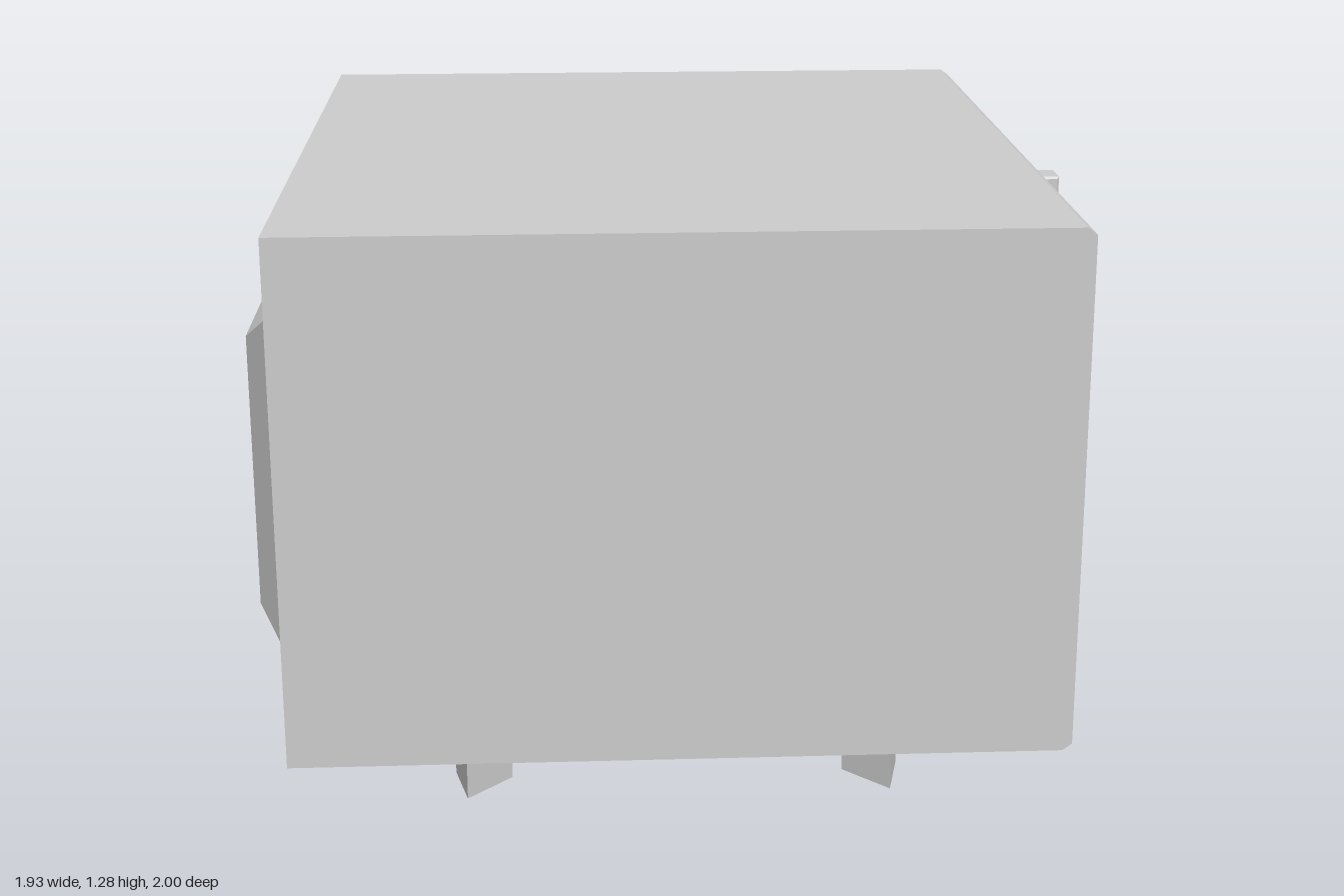
import * as THREE from 'three';

const material = new THREE.MeshStandardMaterial({ color: 0xcccccc, flatShading: true });

// Closed loft through rectangles [depth, u0, u1, v0, v1] stacked along +z
function loft(rings) {
  const pos = [];
  const corners = rings.map(([d, u0, u1, v0, v1]) =>
    [[u0, v0, d], [u1, v0, d], [u1, v1, d], [u0, v1, d]]);
  const quad = (a, b, c, d) => pos.push(...a, ...b, ...c, ...a, ...c, ...d);
  for (let k = 0; k < corners.length - 1; k++) {
    const p = corners[k], q = corners[k + 1];
    for (let i = 0; i < 4; i++) {
      const j = (i + 1) % 4;
      quad(p[i], p[j], q[j], q[i]);
    }
  }
  quad(...corners[0].slice().reverse());
  quad(...corners[corners.length - 1]);
  const geo = new THREE.BufferGeometry();
  geo.setAttribute('position', new THREE.Float32BufferAttribute(pos, 3));
  geo.computeVertexNormals();
  return geo;
}

export function createModel() {
  const group = new THREE.Group();
  const add = (name, geo) => {
    const mesh = new THREE.Mesh(geo, material);
    mesh.name = name;
    group.add(mesh);
    return mesh;
  };

  // Cabinet, chamfered along the door's top and bottom, with the recessed window
  add('cabinet', loft([
    [-0.9, -1, 0.915, 0.14, 1.28],
    [0.74, -1, 0.915, 0.14, 1.28],
    [0.76, -1, 0.915, 0.155, 1.265],
    [0.76, -0.8, 0.27, 0.3, 1.107],
    [0.72, -0.75, 0.195, 0.337, 1.075],
  ]).rotateY(Math.PI / 2));

  // Raised panels on the back and on the side opposite the door
  add('backPanel', loft([
    [0.9, -0.43, 0.78, 0.28, 1.14],
    [0.915, -0.43, 0.78, 0.28, 1.14],
    [1, -0.28, 0.63, 0.385, 1.03],
  ]).rotateY(Math.PI));
  add('sidePanel', loft([
    [0.88, -0.355, 0.87, 0.33, 1.09],
    [0.9, -0.355, 0.87, 0.33, 1.09],
    [0.97, -0.23, 0.745, 0.41, 1.01],
  ]).rotateY(-Math.PI / 2));

  // Bracket handle with a fine edge bevel
  const b = 0.006;
  const outline = [[0.75, 0.31], [0.96, 0.31], [0.96, 1.1], [0.75, 1.1],
    [0.75, 1.05], [0.9, 1.05], [0.9, 0.365], [0.75, 0.365]];
  const handle = new THREE.ExtrudeGeometry(
    new THREE.Shape(outline.map(([x, y]) => new THREE.Vector2(x, y))),
    { depth: 0.09 - 2 * b, bevelSize: b, bevelOffset: -b, bevelThickness: b, bevelSegments: 1 });
  add('handle', handle.translate(0, 0, -0.42 + b));

  // Triangular feet, mirrored left to right and front to back
  for (const sx of [-1, 1]) {
    for (const sz of [-1, 1]) {
      const plan = [[0, 0], [-0.03, 0.13], [-0.125, 0.03]].map(([x, z]) => {
        const px = -0.07 + sx * (0.49 + x);
        const pz = 0.0475 + sz * (0.7025 + z);
        return new THREE.Vector2(px, -pz);
      });
      const foot = new THREE.ExtrudeGeometry(new THREE.Shape(plan),
        { depth: 0.15, bevelEnabled: false });
      add((sz > 0 ? 'front' : 'back') + (sx > 0 ? 'Left' : 'Right') + 'Foot',
        foot.rotateX(-Math.PI / 2));
    }
  }
  return group;
}
